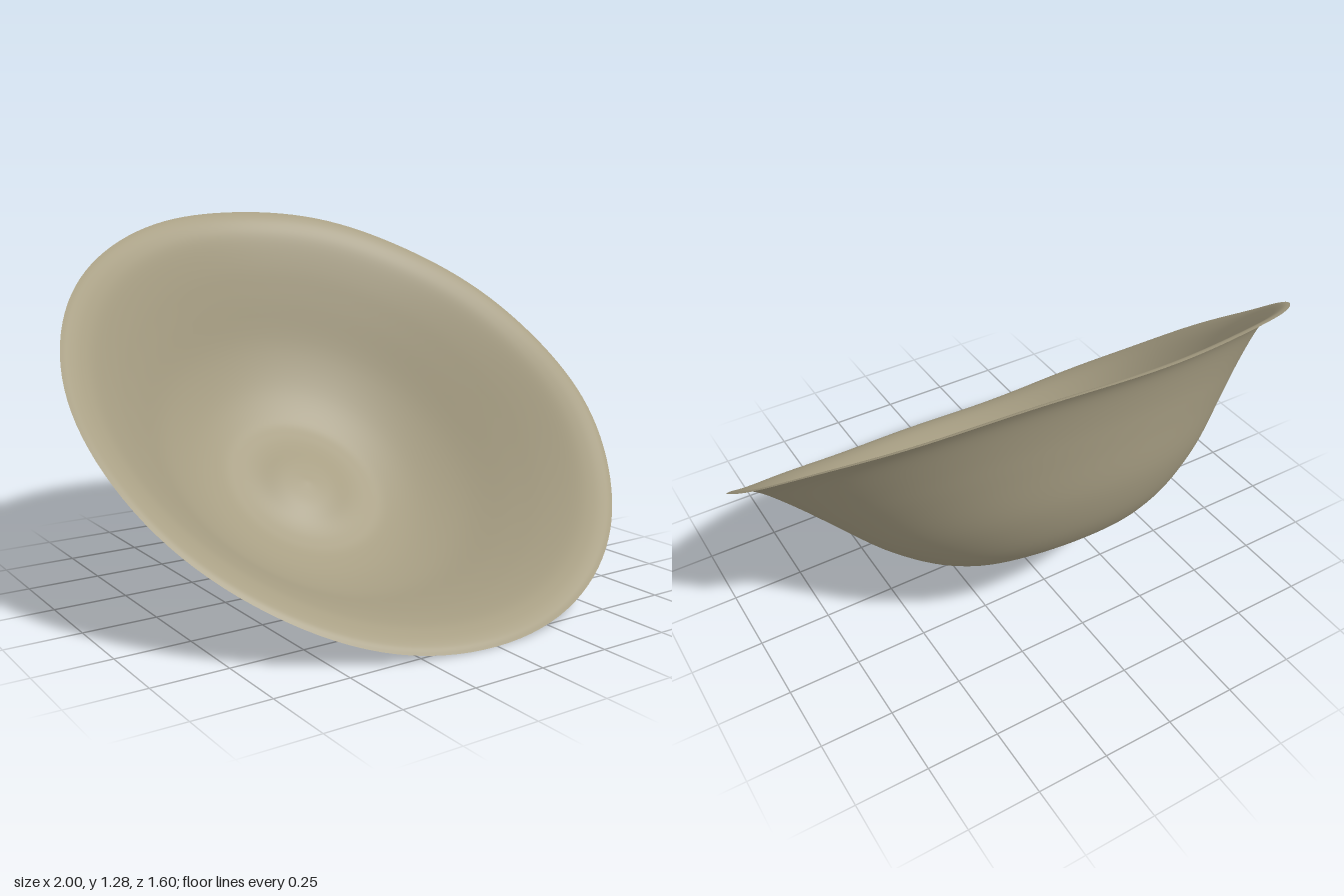
import * as THREE from 'three';
import { mergeVertices } from 'three/addons/utils/BufferGeometryUtils.js';

export function createModel() {
  const group = new THREE.Group();
  group.name = 'tiltedBowl';

  const clay = new THREE.MeshStandardMaterial({ color: 0xa89f84, side: THREE.DoubleSide });
  clay.name = 'clay';

  // Bowl profile as [radius, depth below the rim]: domed floor, foot ring, wall, flared lip
  const profile = [
    [0, 0.442], [0.1, 0.452], [0.19, 0.474], [0.26, 0.479], [0.335, 0.469], [0.455, 0.415],
    [0.59, 0.318], [0.725, 0.186], [0.815, 0.1], [0.9, 0.03], [0.955, 0.002], [1.0, -0.006], [1.026, 0],
  ].map(([r, d]) => new THREE.Vector2(r, -d));
  const points = new THREE.SplineCurve(profile).getPoints(60);
  points[0].x = 0;

  let geometry = new THREE.LatheGeometry(points, 128);
  geometry.scale(0.975, 1, 1);

  // Hand-made warp: the rim rises at the sides and wavers slightly
  const pos = geometry.attributes.position;
  for (let i = 0; i < pos.count; i++) {
    const x = pos.getX(i), z = pos.getZ(i);
    const r2 = x * x + z * z;
    const a = Math.atan2(z, x);
    const waver = 0.003 * Math.sin(5 * a + 1) + 0.002 * Math.sin(9 * a);
    pos.setY(i, pos.getY(i) + r2 * r2 * (0.034 * x * x + waver));
  }

  // Weld the seam for smooth shading all round
  geometry.deleteAttribute('normal');
  geometry.deleteAttribute('uv');
  geometry = mergeVertices(geometry, 1e-5);
  geometry.computeVertexNormals();

  // Tilt the bowl so that its opening faces up and forward
  const bowl = new THREE.Mesh(geometry, clay);
  bowl.name = 'bowl';
  bowl.rotation.x = Math.atan2(1.285, 1.6);
  bowl.position.y = 0.6425;
  group.add(bowl);
  return group;
}
